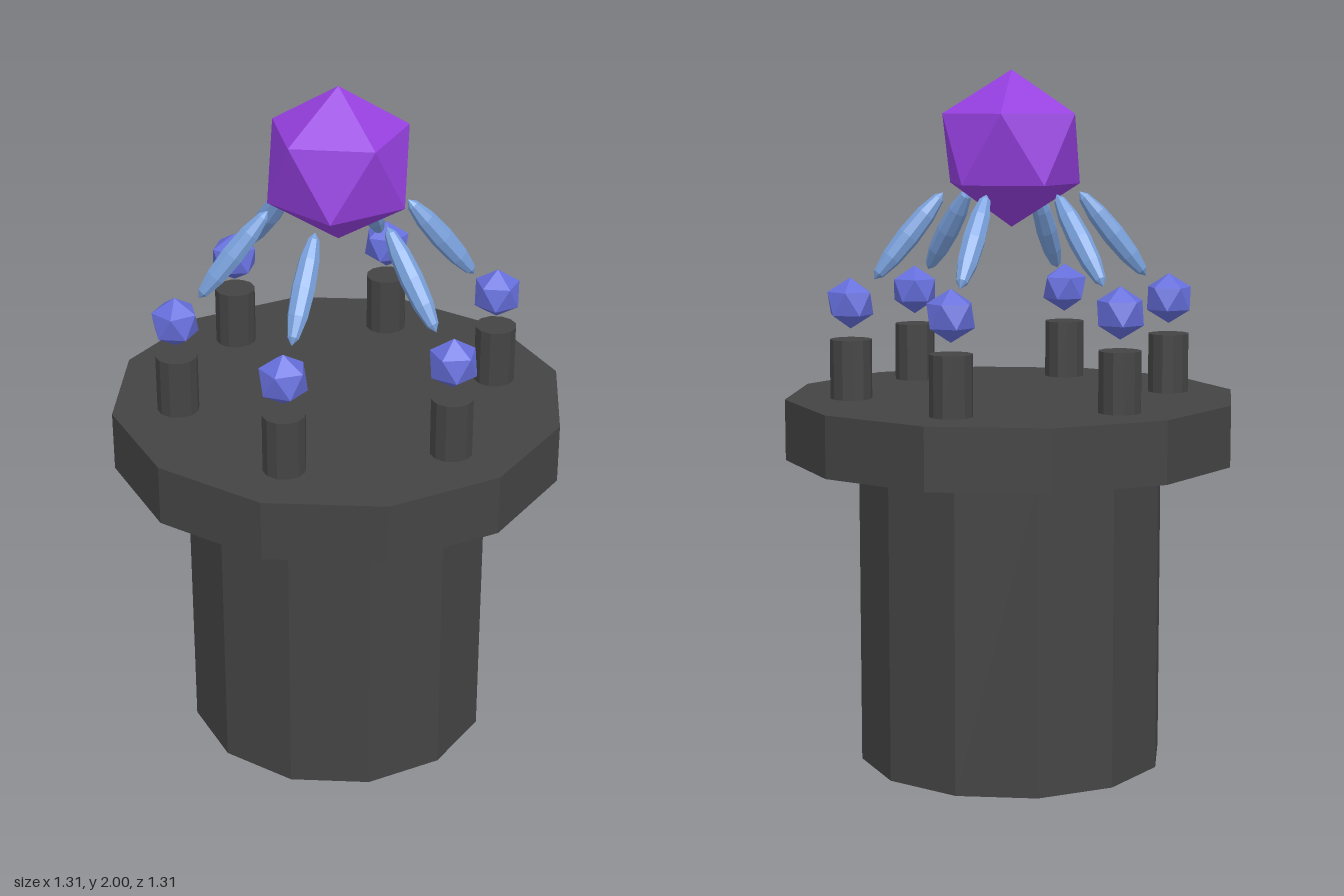
import * as THREE from 'three';

const mat = (name, color) => {
  const m = new THREE.MeshStandardMaterial({ color, flatShading: true });
  m.name = name;
  return m;
};

// Icosahedron standing on a vertex, with an upper ring vertex on +x
function uprightIcosahedron(r) {
  const g = new THREE.IcosahedronGeometry(r, 0);
  const t = (1 + Math.sqrt(5)) / 2;
  // the vertex (1, t, 0) turns up; its neighbours (t, 0, ±1) straddle +x, so (-1, t, 0) faces -x
  g.rotateZ(Math.atan2(1, t));
  g.rotateY(Math.PI);
  return g;
}

export function createModel() {
  const stone = mat('dark stone', 0x444444);
  const purple = mat('purple crystal', 0x9640e0);
  const indigo = mat('indigo crystal', 0x666fdc);
  const blue = mat('pale blue crystal', 0x7aa2de);

  const model = new THREE.Group();
  model.name = 'crystalPedestal';
  const add = (parent, name, geometry, material, x, y) => {
    const mesh = new THREE.Mesh(geometry, material);
    mesh.name = name;
    mesh.position.set(x, y, 0);
    parent.add(mesh);
    return mesh;
  };

  // Twelve-sided pedestal
  add(model, 'column', new THREE.CylinderGeometry(0.445, 0.445, 0.895, 12), stone, 0, 0.4475);
  add(model, 'topSlab', new THREE.CylinderGeometry(0.655, 0.655, 0.175, 12), stone, 0, 0.9825);

  // Floating main crystal
  add(model, 'mainCrystal', uprightIcosahedron(0.2225), purple, 0, 1.7775);

  // Ring of six posts, each with an orb and a slanted shard
  const postGeo = new THREE.CylinderGeometry(0.06, 0.06, 0.17, 12);
  const orbGeo = uprightIcosahedron(0.073);
  const shardGeo = new THREE.SphereGeometry(1, 8, 6).scale(0.033, 0.158, 0.033);
  for (let i = 0; i < 6; i++) {
    const arm = new THREE.Group();
    arm.name = `arm${i + 1}`;
    arm.rotation.y = i * Math.PI / 3;
    add(arm, 'post', postGeo, stone, 0.465, 1.155);
    add(arm, 'orb', orbGeo, indigo, 0.465, 1.343);
    add(arm, 'shard', shardGeo, blue, 0.297, 1.532).rotation.z = Math.atan2(0.195, 0.24);
    model.add(arm);
  }
  return model;
}
